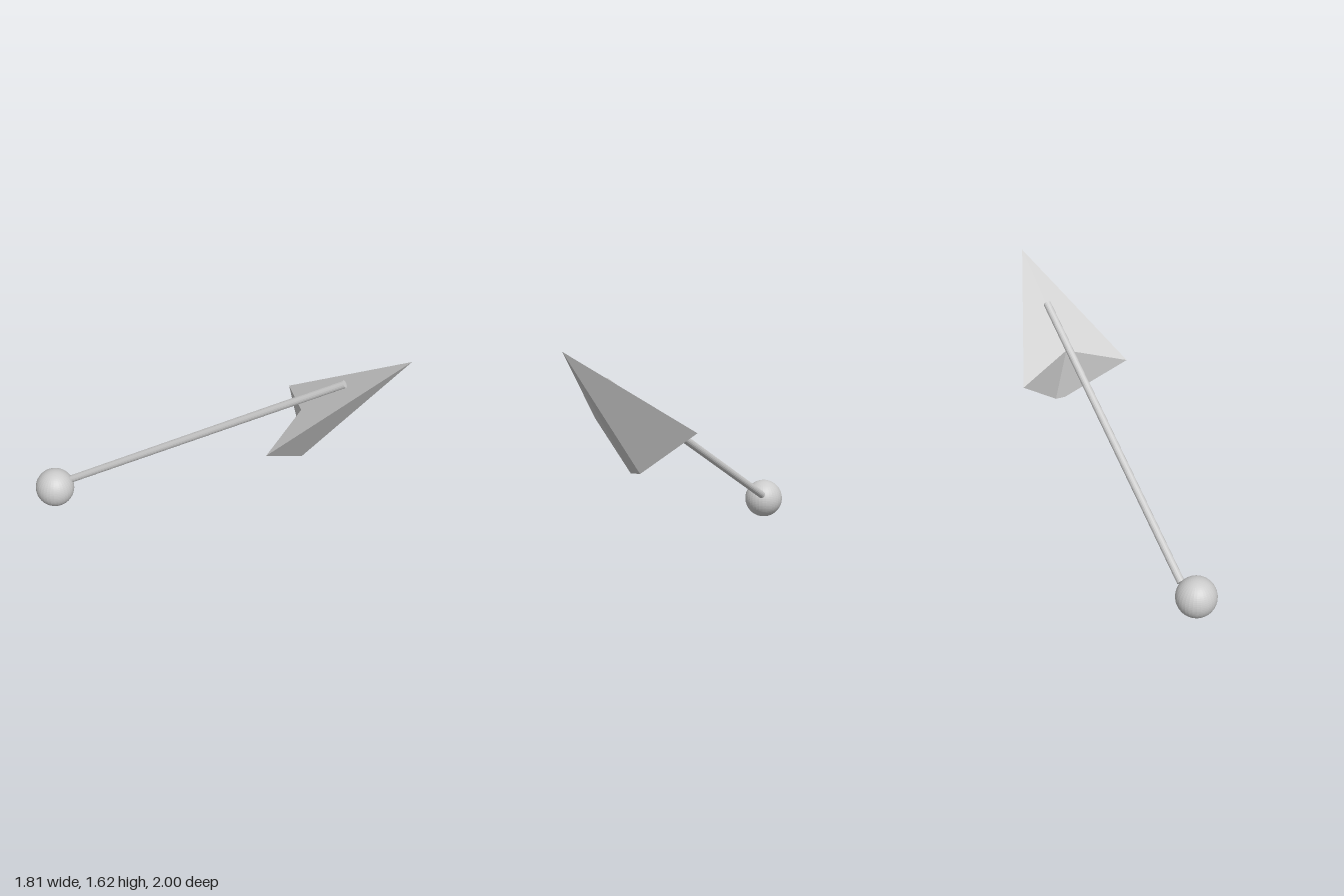
import * as THREE from 'three';

const v = (x, y, z) => new THREE.Vector3(x, y, z);

// Flat-faced solid; each face is a fan of corners, wound to face away from its centre
function facetedSolid(corners, faces) {
  const positions = [];
  for (const face of faces) {
    for (let i = 1; i < face.length - 1; i++) {
      for (const name of [face[0], face[i], face[i + 1]]) positions.push(...corners[name].toArray());
    }
  }
  const geometry = new THREE.BufferGeometry();
  geometry.setAttribute('position', new THREE.Float32BufferAttribute(positions, 3));
  geometry.computeVertexNormals();
  return geometry;
}

export function createModel() {
  const group = new THREE.Group();
  const grey = new THREE.MeshStandardMaterial({ color: 0xcccccc, flatShading: true });
  grey.name = 'light grey';
  const add = (name, geometry) => {
    const mesh = new THREE.Mesh(geometry, grey);
    mesh.name = name;
    group.add(mesh);
    return mesh;
  };

  // Ball at the low end
  add('ball', new THREE.SphereGeometry(0.141, 32, 32)).position.set(-0.764, 0.141, -0.859);

  // Rod from the ball's surface to the top of the arrowhead
  const start = v(-0.65, 0.2, -0.805);
  const end = v(0.63, 1.372, 0.675);
  const axis = end.clone().sub(start);
  const rod = add('rod', new THREE.CylinderGeometry(0.027, 0.027, axis.length(), 16));
  rod.position.copy(start).lerp(end, 0.5);
  rod.quaternion.setFromUnitVectors(v(0, 1, 0), axis.normalize());

  // Arrowhead: flat notched top, two sides, narrow keel and a hollowed back
  const corners = {
    tip: v(0.9, 1.62, 1.0),
    rightWing: v(0.03, 1.01, 0.62),
    leftWing: v(0.65, 1.01, 0.08),
    notch: v(0.44, 1.121, 0.47),
    rightKeel: v(0.46, 0.725, 0.48),
    leftKeel: v(0.515, 0.73, 0.43),
  };
  add('arrowhead', facetedSolid(corners, [
    ['notch', 'rightWing', 'tip', 'leftWing'],
    ['tip', 'rightWing', 'rightKeel'],
    ['tip', 'rightKeel', 'leftKeel'],
    ['tip', 'leftKeel', 'leftWing'],
    ['notch', 'rightKeel', 'rightWing'],
    ['notch', 'leftKeel', 'rightKeel'],
    ['notch', 'leftWing', 'leftKeel'],
  ]));

  return group;
}
